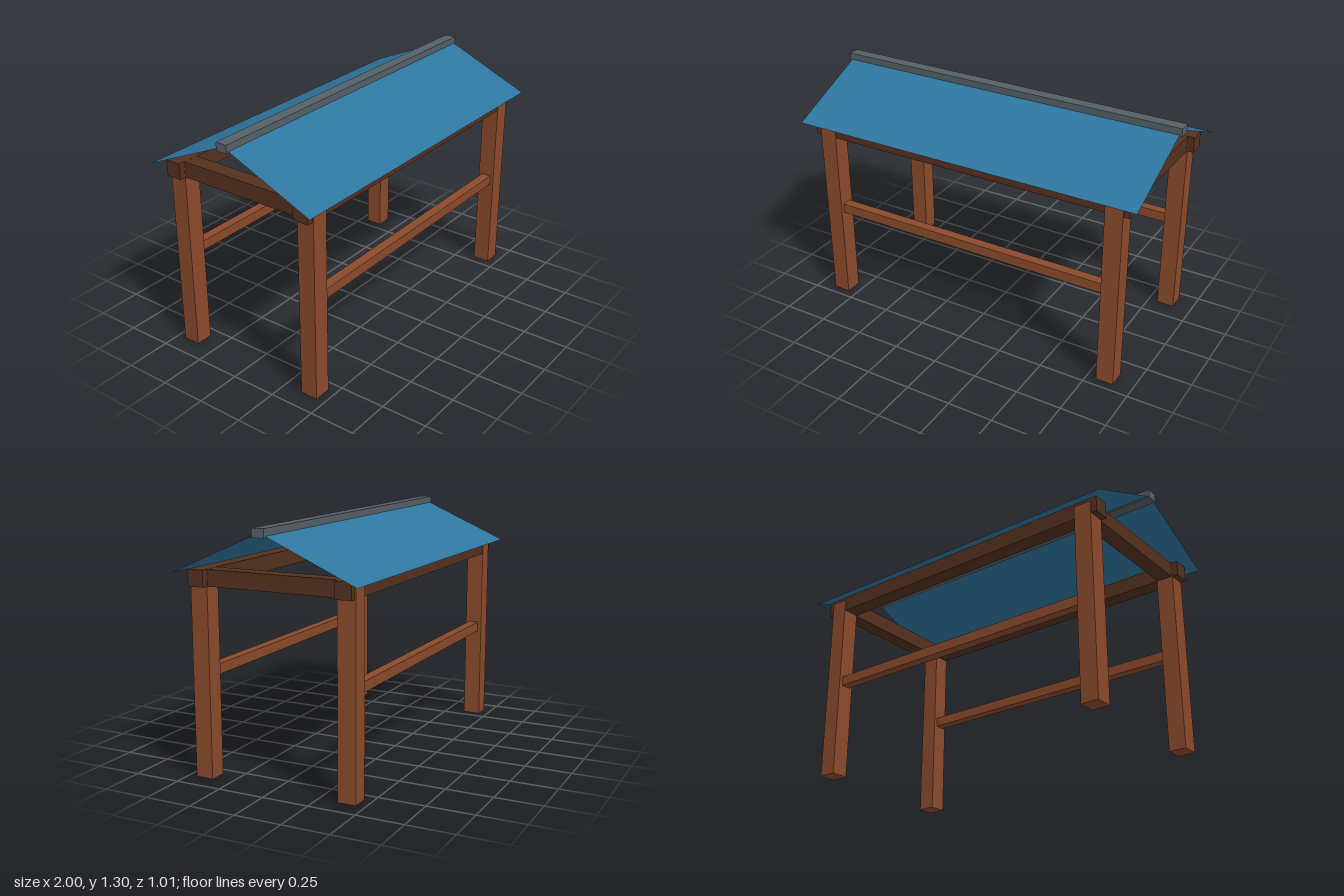
import * as THREE from 'three';

const mat = (color, side = THREE.FrontSide) =>
  new THREE.MeshStandardMaterial({ color, side });

export function createModel() {
  const group = new THREE.Group();
  const wood = mat(0x8b4a2b);
  const darkWood = mat(0x55301e);
  const roofing = mat(0x2e76a0, THREE.DoubleSide);
  const metal = mat(0x546067);

  const add = (name, geometry, material, x, y, z) => {
    const mesh = new THREE.Mesh(geometry, material);
    mesh.name = name;
    mesh.position.set(x, y, z);
    group.add(mesh);
    return mesh;
  };
  const box = (name, w, h, d, material, x, y, z) =>
    add(name, new THREE.BoxGeometry(w, h, d), material, x, y, z);

  const postX = 0.85, postZ = 0.405, postHeight = 1.055;
  const eaveY = 1.06, eaveZ = 0.505, ridgeY = 1.28;
  const slope = Math.hypot(eaveZ, ridgeY - eaveY);
  const pitch = Math.atan2(ridgeY - eaveY, eaveZ);

  for (const s of [1, -1]) {
    const side = s > 0 ? 'front' : 'back';

    // corner posts
    for (const t of [1, -1]) {
      box(side + (t > 0 ? 'Left' : 'Right') + 'Post',
        0.096, postHeight, 0.096, wood, t * postX, postHeight / 2, s * postZ);
    }

    // long top beam and lower rail
    box(side + 'Beam', 1.86, 0.086, 0.088, darkWood, 0, 1.032, s * 0.403);
    box(side + 'Rail', 1.62, 0.054, 0.054, wood, 0, 0.547, s * postZ);

    // cross beam at each end
    box(s > 0 ? 'leftCrossBeam' : 'rightCrossBeam',
      0.086, 0.085, 0.86, darkWood, s * postX, 1.032, 0);

    // thin roof slope, from eave up to the ridge
    const sheet = new THREE.PlaneGeometry(1.976, slope);
    sheet.rotateX(-Math.PI / 2);
    add(side + 'RoofSlope', sheet, roofing, 0, (eaveY + ridgeY) / 2, s * eaveZ / 2)
      .rotation.x = s * pitch;
  }

  // ridge cap
  box('ridgeCap', 2, 0.045, 0.065, metal, 0, 1.28, 0);

  return group;
}
